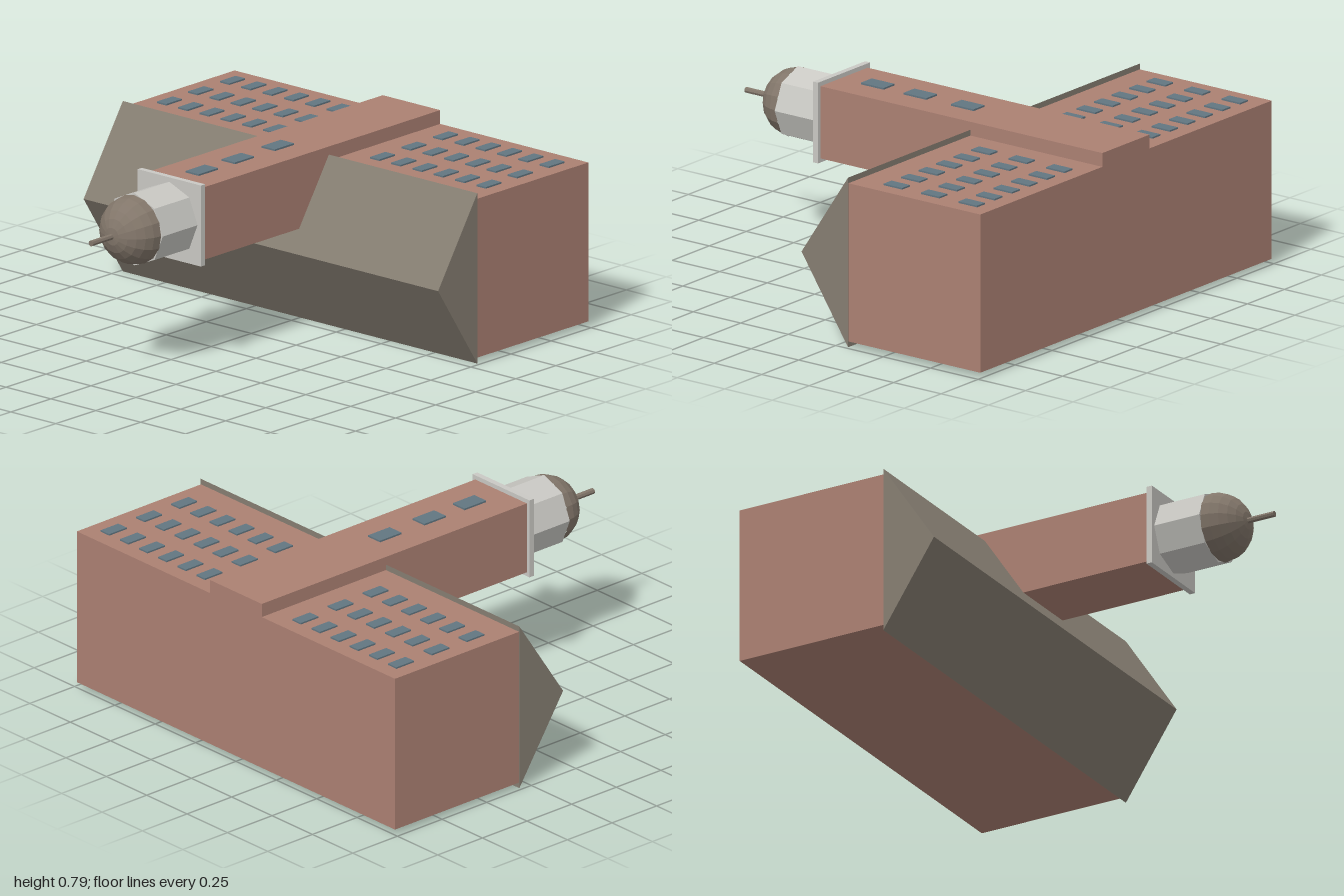
import * as THREE from 'three';

export function createModel() {
  const model = new THREE.Group();
  const material = (name, color, flatShading = false) => {
    const m = new THREE.MeshStandardMaterial({ color, flatShading });
    m.name = name;
    return m;
  };
  const brick = material('brick', 0xab8072);
  const slate = material('slate', 0x857d71);
  const stone = material('stone', 0xc9c8c3, true);
  const bronze = material('bronze', 0x82766a, true);
  const glass = material('glass', 0x627681);

  const add = (name, geometry, mat, x, y, z, parent = model) => {
    const mesh = new THREE.Mesh(geometry, mat);
    mesh.name = name;
    mesh.position.set(x, y, z);
    parent.add(mesh);
    return mesh;
  };
  const box = (w, h, d) => new THREE.BoxGeometry(w, h, d);

  // Long hall lying on its back, and the tower running across it
  add('hall', box(1.97, 0.69, 0.695), brick, 0, 0.375, -0.6525);
  add('tower', box(0.32, 0.315, 1.49), brick, 0, 0.6225, -0.255);

  // Gabled roof with a slight overhang, ridge pointing forward
  const gable = new THREE.Shape();
  gable.moveTo(0.305, 0.005);
  gable.lineTo(0.06, 0.375);
  gable.lineTo(0.305, 0.745);
  gable.closePath();
  const roofGeometry = new THREE.ExtrudeGeometry(gable, { depth: 1.974, bevelEnabled: false });
  roofGeometry.translate(0, 0, -0.987);
  roofGeometry.rotateY(Math.PI / 2); // shape x becomes -z
  add('roof', roofGeometry, slate, 0, 0, 0);

  // Cornice, octagonal lantern, dome and spire along the tower axis
  const axisY = 0.623;
  add('cornice', box(0.352, 0.352, 0.026), stone, 0, axisY, 0.498);
  const lantern = new THREE.CylinderGeometry(0.157, 0.157, 0.22, 8).rotateX(Math.PI / 2);
  add('lantern', lantern, stone, 0, axisY, 0.618);
  const dome = new THREE.SphereGeometry(0.148, 16, 6, 0, Math.PI * 2, 0, Math.PI / 2).rotateX(Math.PI / 2);
  add('dome', dome, bronze, 0, axisY, 0.727);
  const spire = new THREE.CylinderGeometry(0.013, 0.013, 0.14, 8).rotateX(Math.PI / 2);
  add('spire', spire, bronze, 0, axisY, 0.93);

  // Rows of windows on both wings
  const windows = new THREE.Group();
  windows.name = 'windows';
  model.add(windows);
  const wingPane = box(0.053, 0.009, 0.098);
  for (const side of [-1, 1])
    for (let i = 0; i < 6; i++)
      for (const z of [-0.88, -0.682, -0.486])
        add('wingWindow', wingPane, glass, side * (0.297 + i * 0.1185), 0.7225, z, windows);

  // Three larger windows on the tower
  const towerPane = box(0.074, 0.009, 0.12);
  for (const z of [-0.166, 0.083, 0.308])
    add('towerWindow', towerPane, glass, 0, 0.783, z, windows);

  // Rest the lowest edge on the ground
  model.children.forEach((part) => { part.position.y -= 0.005; });
  return model;
}
